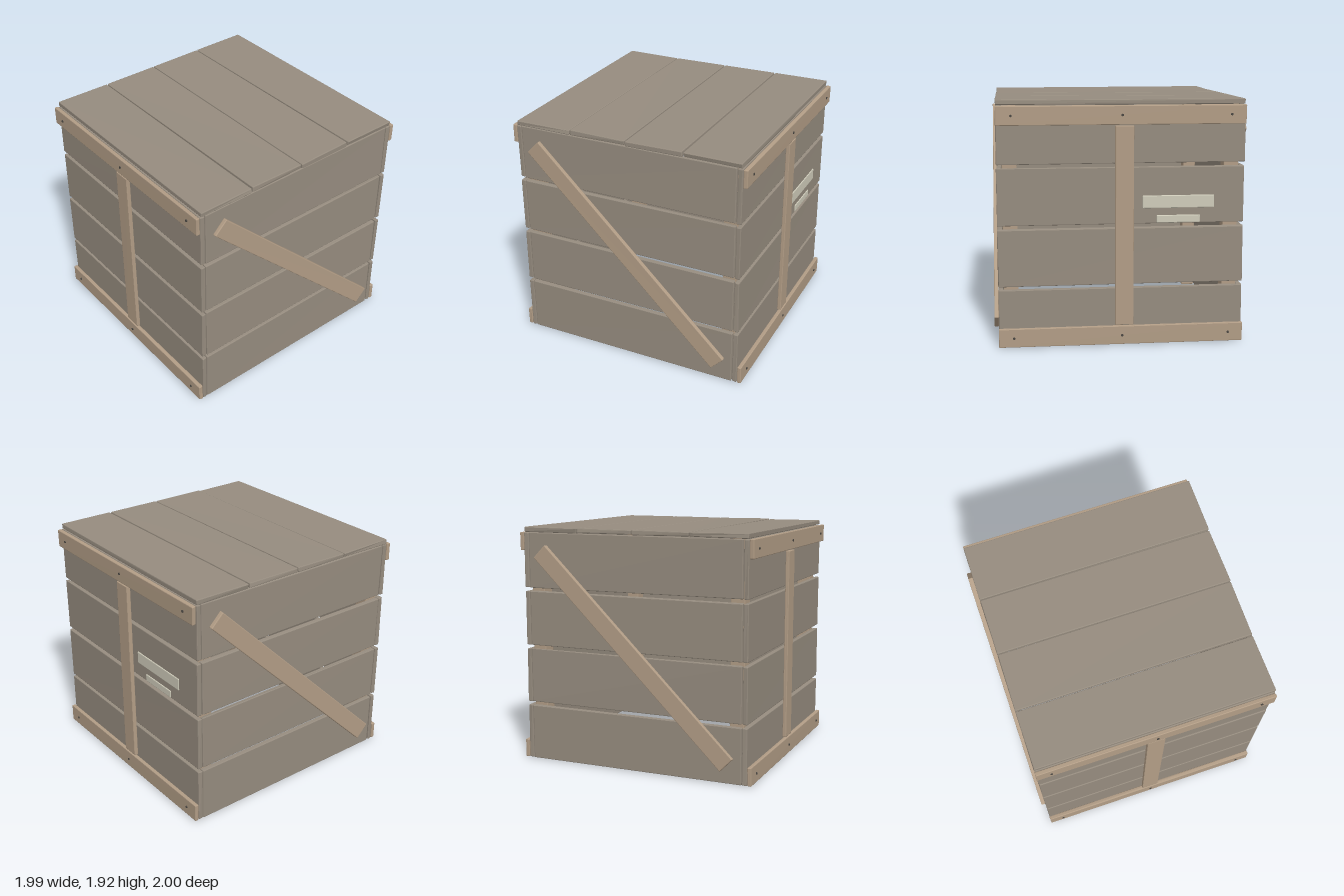
import * as THREE from 'three';
import { RoundedBoxGeometry } from 'three/addons/geometries/RoundedBoxGeometry.js';

export function createModel() {
  const crate = new THREE.Group();
  crate.name = 'crate';

  const plankMat = new THREE.MeshStandardMaterial({ color: 0x968c7f });
  const trimMat = new THREE.MeshStandardMaterial({ color: 0xb29d86 });
  const nailMat = new THREE.MeshStandardMaterial({ color: 0x4a4742 });
  const labelMat = new THREE.MeshStandardMaterial({ color: 0xcfccba });

  let seed = 7;
  const jitter = (amount) => {
    seed = (seed * 16807) % 2147483647;
    return (seed / 2147483647 - 0.5) * 2 * amount;
  };

  // Chamfered board given by its limits, with its eight corners nudged a little
  function board(name, parent, mat, [x0, x1], [y0, y1], [z0, z1], wobble = 0.003) {
    const geo = new RoundedBoxGeometry(x1 - x0, y1 - y0, z1 - z0, 1, 0.006);
    const nudges = Array.from({ length: 8 }, () => [jitter(wobble), jitter(wobble), jitter(wobble)]);
    const p = geo.attributes.position;
    for (let i = 0; i < p.count; i++) {
      const x = p.getX(i), y = p.getY(i), z = p.getZ(i);
      const n = nudges[(x > 0 ? 1 : 0) + (y > 0 ? 2 : 0) + (z > 0 ? 4 : 0)];
      p.setXYZ(i, x + n[0], y + n[1], z + n[2] * 0.5);
    }
    geo.computeVertexNormals();
    const mesh = new THREE.Mesh(geo, mat);
    mesh.name = name;
    mesh.position.set((x0 + x1) / 2, (y0 + y1) / 2, (z0 + z1) / 2);
    parent.add(mesh);
    return mesh;
  }

  const rows = [[0.01, 0.457], [0.485, 0.93], [0.96, 1.402], [1.432, 1.875]];

  // Front and back walls: planks, battens, upright and nails
  for (const name of ['front', 'back']) {
    const wall = new THREE.Group();
    wall.name = name + 'Wall';
    rows.forEach((row) => board('plank', wall, plankMat, [-0.955, 0.955], row, [0.917, 0.955]));
    for (const y of [0.083, 1.803]) {
      board('batten', wall, trimMat, [-0.957, 0.955], [y - 0.073, y + 0.073], [0.96, 0.993], 0.002);
      for (const x of [-0.84, 0, 0.84]) {
        const nail = new THREE.Mesh(new THREE.CylinderGeometry(0.01, 0.01, 0.012, 8), nailMat);
        nail.name = 'nail';
        nail.rotation.x = Math.PI / 2;
        nail.position.set(x, y, 0.994);
        wall.add(nail);
      }
    }
    const mid = name === 'front' ? -0.004 : 0.018;
    board('upright', wall, trimMat, [mid - 0.073, mid + 0.073], [0.163, 1.722], [0.957, 0.99], 0.002);
    if (name === 'back') {
      // Blank pale plates beside the back upright
      board('largePlate', wall, labelMat, [0.16, 0.72], [1.08, 1.18], [0.945, 0.962], 0);
      board('smallPlate', wall, labelMat, [0.27, 0.61], [0.965, 1.025], [0.945, 0.962], 0);
      wall.rotation.y = Math.PI;
    }
    crate.add(wall);
  }

  // Side walls: planks and a diagonal brace
  for (const name of ['left', 'right']) {
    const wall = new THREE.Group();
    wall.name = name + 'Wall';
    rows.forEach((row) => board('plank', wall, plankMat, [0.917, 0.955], row, [-0.908, 0.912]));
    const brace = board('diagonalBrace', wall, trimMat, [0.957, 0.992], [0.872, 1.018], [-1.12, 1.12], 0.002);
    brace.rotation.x = -0.776;
    if (name === 'right') wall.rotation.y = Math.PI;
    crate.add(wall);
  }

  // Lid planks
  const lid = new THREE.Group();
  lid.name = 'lid';
  for (let i = 0; i < 4; i++) {
    const z = -0.717 + i * 0.478;
    board('lidPlank', lid, plankMat, [-0.955, 0.955], [1.88, 1.917], [z - 0.234, z + 0.234], 0.004);
  }
  crate.add(lid);

  // Corner posts inside the open-bottomed crate
  for (const x of [-0.857, 0.857]) {
    for (const z of [-0.857, 0.857]) {
      board('cornerPost', crate, trimMat, [x - 0.057, x + 0.057], [0.005, 1.878], [z - 0.057, z + 0.057], 0.001);
    }
  }
  return crate;
}
